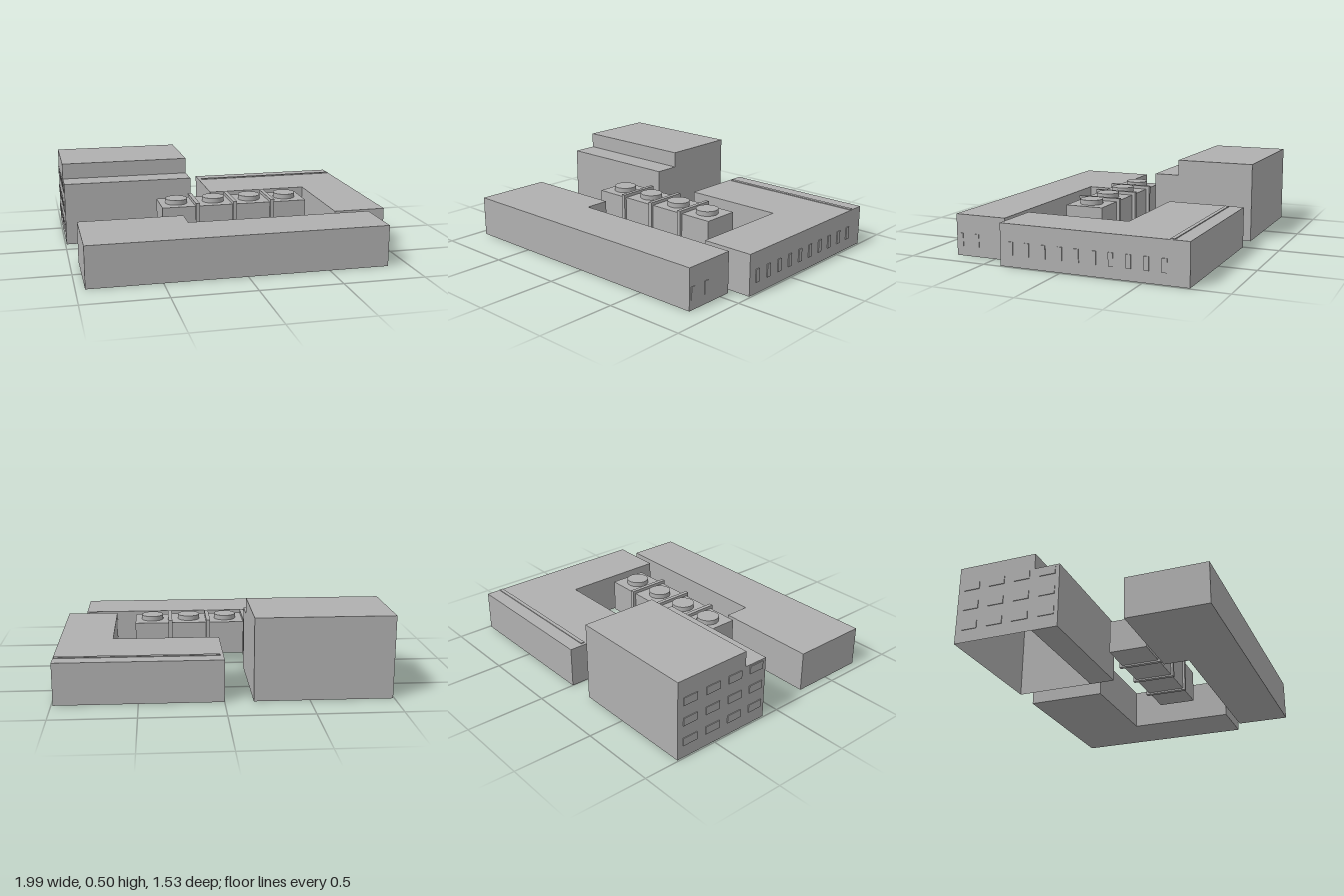
import * as THREE from 'three';

export function createModel() {
  const model = new THREE.Group();
  const concrete = new THREE.MeshStandardMaterial({ color: 0xb0b0b0 });
  concrete.name = 'concrete grey';
  concrete.side = THREE.DoubleSide;

  const add = (name, geometry, parent = model) => {
    const mesh = new THREE.Mesh(geometry, concrete);
    mesh.name = name;
    parent.add(mesh);
    return mesh;
  };
  // Box given by its limits on each axis
  const box = (name, [x0, x1], [y0, y1], [z0, z1], parent) =>
    add(name, new THREE.BoxGeometry(x1 - x0, y1 - y0, z1 - z0), parent)
      .position.set((x0 + x1) / 2, (y0 + y1) / 2, (z0 + z1) / 2);
  // Block raised from a floor plan of [x, z] corners
  const block = (name, plan, depth) => {
    const shape = new THREE.Shape(plan.map(([x, z]) => new THREE.Vector2(x, -z)));
    add(name, new THREE.ExtrudeGeometry(shape, { depth, bevelEnabled: false }).rotateX(-Math.PI / 2));
  };
  const group = (name) => {
    const g = new THREE.Group();
    g.name = name;
    model.add(g);
    return g;
  };

  // Low buildings
  const H = 0.255;
  block('cornerBuilding', [[0, -0.77], [0.99, -0.77], [0.99, 0.39], [0.66, 0.39], [0.66, -0.275], [0, -0.275]], H);
  block('frontBuilding', [[-0.945, 0.27], [-0.29, 0.27], [-0.29, 0.43], [0.87, 0.43], [0.87, 0.765], [-0.945, 0.765]], H);
  box('roofStrip', [0.02, 0.985], [H - 0.005, H + 0.005], [-0.68, -0.655]);

  // Stepped tower: a hollow shell, open underneath at the back
  const X0 = -0.992, X1 = -0.17;
  const profile = [[-0.77, 0], [-0.77, 0.5], [-0.27, 0.5], [-0.27, 0.4], [-0.11, 0.4], [-0.11, 0], [-0.27, 0]];
  const tower = group('steppedTower');
  const verts = [];
  for (let i = 0; i < profile.length - 1; i++) {
    const [z0, y0] = profile[i], [z1, y1] = profile[i + 1];
    verts.push(X0, y0, z0, X0, y1, z1, X1, y1, z1, X0, y0, z0, X1, y1, z1, X1, y0, z0);
  }
  const shell = new THREE.BufferGeometry();
  shell.setAttribute('position', new THREE.Float32BufferAttribute(verts, 3));
  shell.computeVertexNormals();
  add('towerShell', shell, tower);
  for (const [x, s] of [[X0, 1], [X1, -1]]) {
    const side = new THREE.Shape(profile.map(([z, y]) => new THREE.Vector2(s * z, y)));
    add('towerSideWall', new THREE.ShapeGeometry(side).rotateY(-s * Math.PI / 2), tower).position.x = x;
  }

  // Thin window plates
  const windows = group('windows');
  for (const z of [0.625, 0.735]) box('frontWindow', [0.868, 0.874], [0.06, 0.14], [z - 0.015, z + 0.015], windows);
  for (let i = 0; i < 10; i++) {
    const z = 0.32 - i * 0.105;
    box('cornerWindow', [0.988, 0.996], [0.07, 0.15], [z - 0.015, z + 0.015], windows);
  }
  for (let row = 0; row < 3; row++) {
    for (let col = 0; col < 4; col++) {
      const y = 0.08 + row * 0.13, z = -0.68 + col * 0.165;
      box('towerWindow', [X0 - 0.005, X0 + 0.002], [y, y + 0.05], [z - 0.05, z + 0.05], windows);
    }
  }

  // Central row of units with dividing fins and round roof caps
  const units = group('courtyardUnits');
  box('unitBody', [-0.408, 0.525], [0.08, 0.29], [-0.04, 0.2], units);
  for (const x of [-0.185, 0.055, 0.3]) box('divider', [x - 0.0125, x + 0.0125], [0.07, 0.31], [-0.06, 0.215], units);
  for (const x of [-0.3, -0.06, 0.178, 0.415]) {
    add('roofCap', new THREE.CylinderGeometry(0.07, 0.07, 0.03, 40), units).position.set(x, 0.305, 0.08);
  }
  return model;
}
